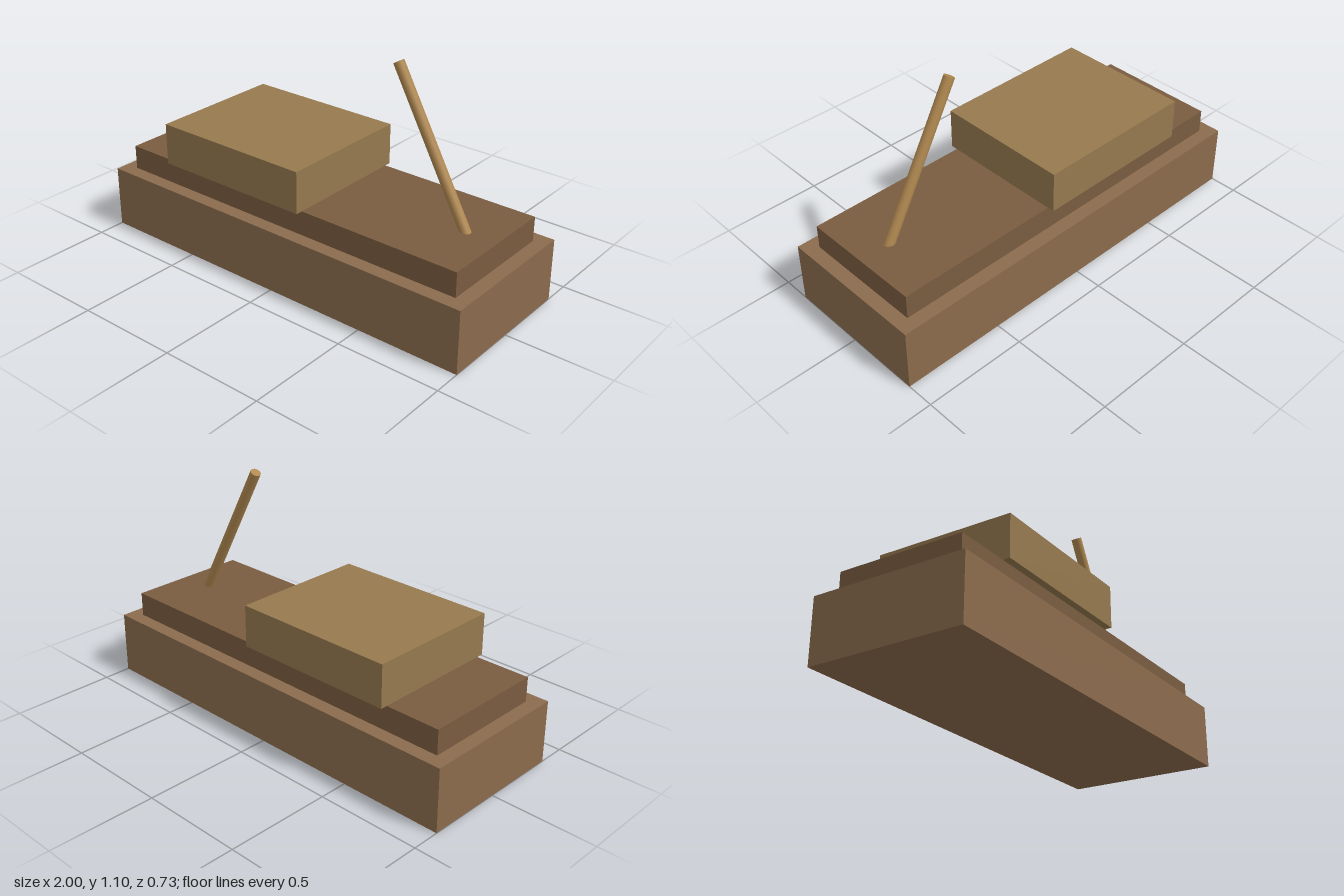
import * as THREE from 'three';

export function createModel() {
  const model = new THREE.Group();

  const add = (name, geometry, color, x, y) => {
    const mesh = new THREE.Mesh(geometry, new THREE.MeshStandardMaterial({ color }));
    mesh.name = name;
    mesh.position.set(x, y, 0);
    model.add(mesh);
    return mesh;
  };

  // Stacked blocks: hull, inset deck, overhanging cabin
  add('hull', new THREE.BoxGeometry(2, 0.3, 0.734), 0x8b6b4d, 0, 0.15);
  add('deck', new THREE.BoxGeometry(1.866, 0.117, 0.6), 0x7a5c40, 0, 0.3585);
  add('cabin', new THREE.BoxGeometry(0.8, 0.2, 0.667), 0x96794f, -0.267, 0.517);

  // Slanted pole, its foot sunk slightly into the deck
  const pole = add('pole', new THREE.CylinderGeometry(0.025, 0.025, 0.8, 12), 0xb08850, 0.6, 0.735);
  pole.rotation.z = 0.5;

  return model;
}
